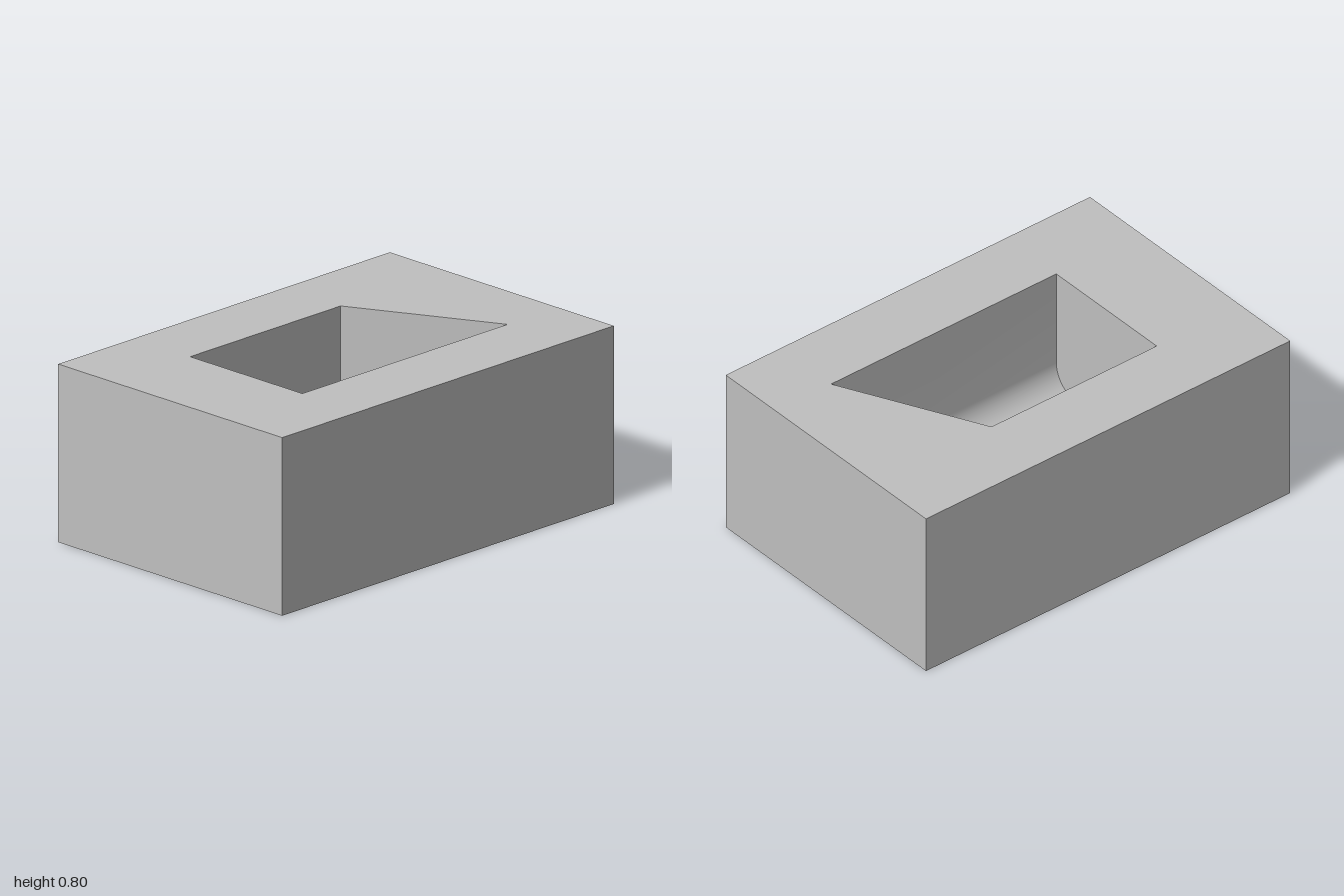
import * as THREE from 'three';
import { toCreasedNormals } from 'three/addons/utils/BufferGeometryUtils.js';

const W = 2, H = 0.8, D = 1.333;              // block size
const LEFT = -0.54, BACK = -0.335, FRONT = 0.333;
const FLOOR = 0.2, R = 0.133;                 // pocket floor height and fillet radius
const slantX = z => 0.367 + (z - BACK) * 0.494; // slanted end wall of the pocket

export function createModel() {
  const group = new THREE.Group();
  const grey = new THREE.MeshStandardMaterial({ color: 0xc0c0c0 });
  grey.name = 'grey';
  const add = (name, geometry) => {
    const mesh = new THREE.Mesh(geometry, grey);
    mesh.name = name;
    group.add(mesh);
  };

  // Outer sides and underside: a box without its top face
  const box = new THREE.BoxGeometry(W, H, D).translate(0, H / 2, 0);
  box.setIndex([...box.index.array].filter((_, i) => i < 12 || i >= 18));
  box.clearGroups();
  add('blockSides', box);

  // Top face with the four-sided pocket opening
  const outline = [[-W / 2, -D / 2], [W / 2, -D / 2], [W / 2, D / 2], [-W / 2, D / 2]];
  const opening = [[LEFT, BACK], [slantX(BACK), BACK], [slantX(FRONT), FRONT], [LEFT, FRONT]];
  const toPoints = list => list.map(([x, z]) => new THREE.Vector2(x, -z));
  const top = new THREE.Shape(toPoints(outline));
  top.holes.push(new THREE.Path(toPoints(opening)));
  add('topFace', new THREE.ShapeGeometry(top).rotateX(-Math.PI / 2).translate(0, H, 0));

  // Pocket cross-section (z, y): back wall, floor, rounded front corner, front wall
  const section = [new THREE.Vector2(BACK, H), new THREE.Vector2(BACK, FLOOR)];
  for (let i = 0; i <= 16; i++) {
    const a = (i / 16) * Math.PI / 2;
    section.push(new THREE.Vector2(FRONT - R + R * Math.sin(a), FLOOR + R - R * Math.cos(a)));
  }
  section.push(new THREE.Vector2(FRONT, H));

  // Pocket walls and floor, swept from the square end to the slanted end
  const positions = [], index = [];
  section.forEach((p, i) => {
    positions.push(LEFT, p.y, p.x, slantX(p.x), p.y, p.x);
    if (i === 0) return;
    const a = 2 * (i - 1);
    index.push(a, a + 2, a + 1, a + 1, a + 2, a + 3);
  });
  const sweep = new THREE.BufferGeometry();
  sweep.setAttribute('position', new THREE.Float32BufferAttribute(positions, 3));
  sweep.setIndex(index);
  add('pocketWallsAndFloor', toCreasedNormals(sweep, 0.5));

  // Pocket end walls
  const endWall = (xAt, flip) => {
    const geometry = new THREE.ShapeGeometry(new THREE.Shape(section));
    const pos = geometry.attributes.position;
    for (let i = 0; i < pos.count; i++) {
      const z = pos.getX(i);
      pos.setXYZ(i, xAt(z), pos.getY(i), z);
    }
    if (flip) geometry.setIndex([...geometry.index.array].reverse());
    geometry.computeVertexNormals();
    return geometry;
  };
  add('pocketSquareEnd', endWall(() => LEFT, true));
  add('pocketSlantedEnd', endWall(slantX, false));

  return group;
}
